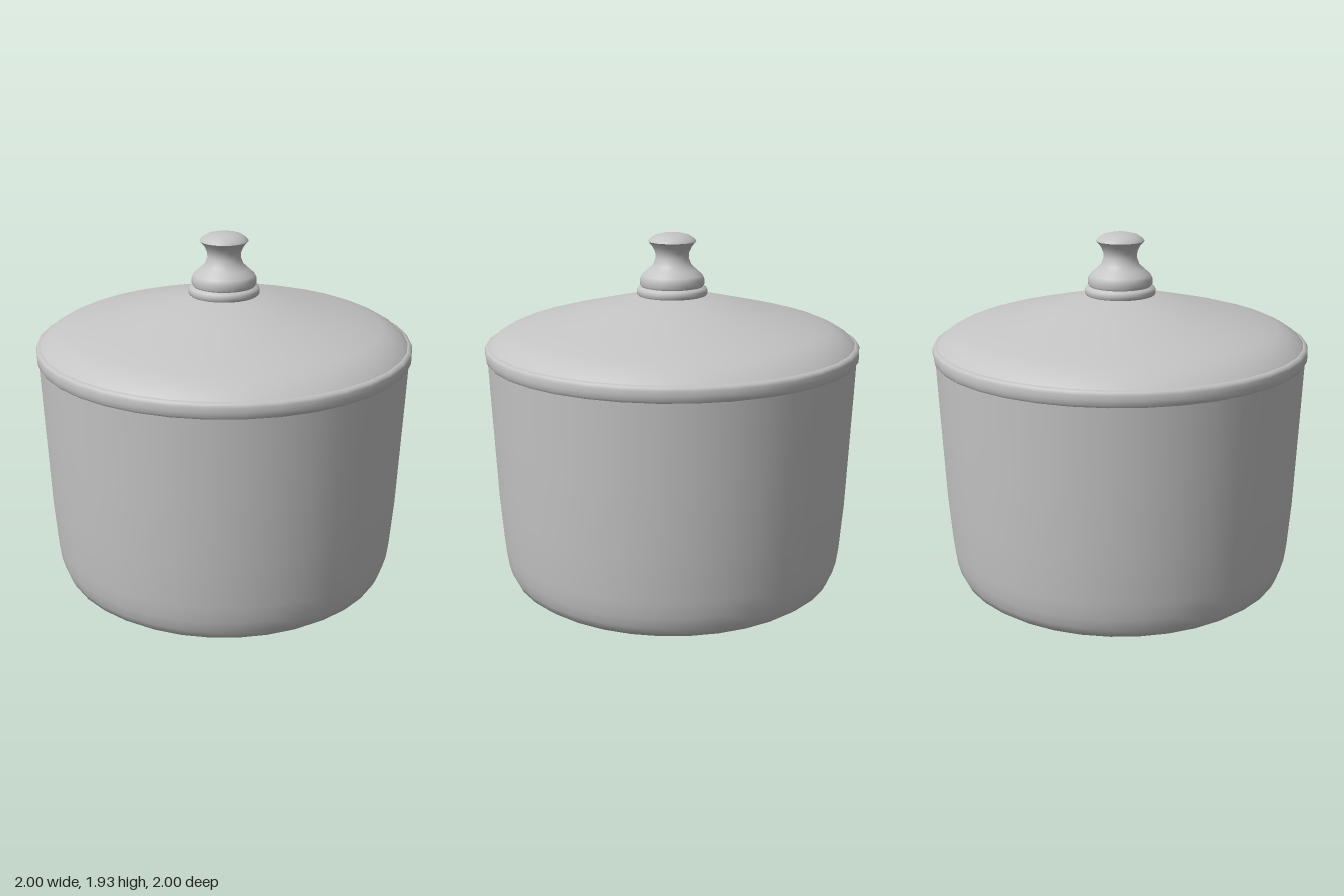
import * as THREE from 'three';

const SEGMENTS = 36;

export function createModel() {
  const group = new THREE.Group();
  const metal = new THREE.MeshStandardMaterial({ color: 0xc4c4c4 });
  metal.name = 'grey metal';

  // Each part is a turned profile, listed from bottom to top as [radius, height]
  const turned = (name, profile) => {
    const points = profile.map(([r, y]) => new THREE.Vector2(r, y));
    const mesh = new THREE.Mesh(new THREE.LatheGeometry(points, SEGMENTS), metal);
    mesh.name = name;
    group.add(mesh);
  };

  // Pot with a rounded foot and slightly flaring wall
  turned('potBody', [
    [0, 0], [0.5, 0.01], [0.78, 0.018], [0.85, 0.034], [0.885, 0.06],
    [0.905, 0.1], [0.922, 0.16], [0.934, 0.25], [0.953, 0.5],
    [0.968, 0.85], [0.978, 1.08], [0.986, 1.28],
  ]);

  // Rolled rim around the mouth
  turned('rim', [
    [0.986, 1.275], [0.995, 1.288], [0.998, 1.31], [0.998, 1.335],
    [0.992, 1.35], [0.975, 1.357], [0.96, 1.352],
  ]);

  // Shallow domed lid
  turned('lid', [
    [0.975, 1.355], [0.94, 1.388], [0.89, 1.417], [0.835, 1.44], [0.717, 1.474],
    [0.578, 1.508], [0.417, 1.547], [0.18, 1.603], [0, 1.61],
  ]);

  // Ring under the knob
  turned('knobCollar', [
    [0.178, 1.6], [0.187, 1.61], [0.188, 1.628], [0.182, 1.642], [0.164, 1.65],
  ]);

  // Waisted handle stem
  turned('knobStem', [
    [0.162, 1.648], [0.17, 1.66], [0.17, 1.69], [0.16, 1.71], [0.13, 1.737],
    [0.102, 1.762], [0.087, 1.8], [0.09, 1.83], [0.104, 1.86], [0.127, 1.886],
  ]);

  // Rounded cap on the stem
  turned('knobCap', [
    [0.127, 1.886], [0.118, 1.9], [0.09, 1.918], [0.05, 1.928], [0, 1.932],
  ]);

  return group;
}
